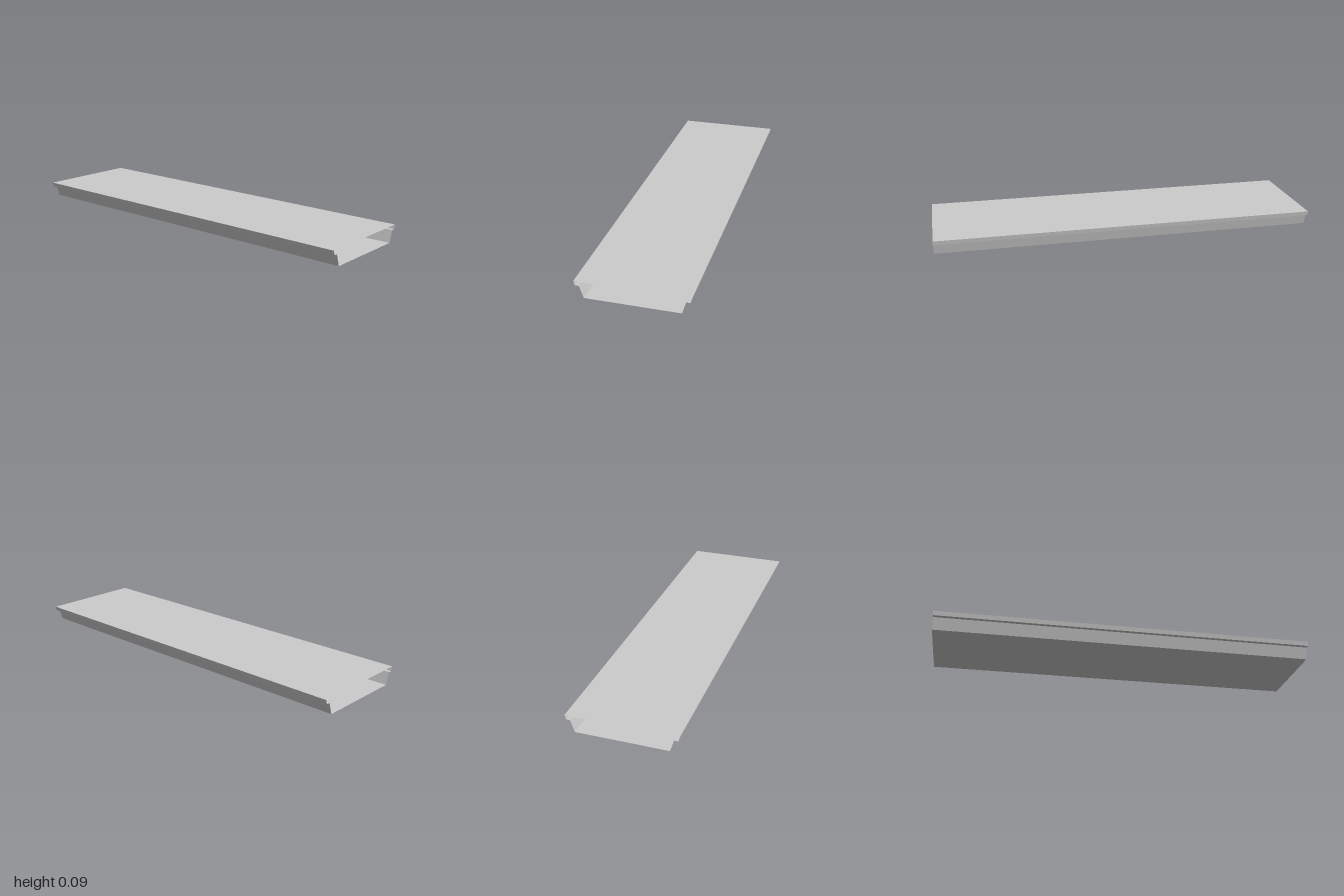
import * as THREE from 'three';

const HALF_LENGTH = 1;

// Thin flat strip swept along z between two points of the cross-section
function panel(name, [x0, y0], [x1, y1], material) {
  const g = new THREE.BufferGeometry();
  const h = HALF_LENGTH;
  g.setAttribute('position', new THREE.Float32BufferAttribute([
    x0, y0, h, x1, y1, h, x1, y1, -h, x0, y0, -h,
  ], 3));
  // front faces look outward when the section runs clockwise seen from +z
  g.setIndex([0, 1, 2, 0, 2, 3]);
  g.computeVertexNormals();
  const mesh = new THREE.Mesh(g, material);
  mesh.name = name;
  return mesh;
}

export function createModel() {
  const group = new THREE.Group();
  group.name = 'hollowDeckPlank';
  const material = new THREE.MeshStandardMaterial({
    color: 0xcccccc, side: THREE.DoubleSide, flatShading: true,
  });

  // Half cross-section: top edge, lip, step, foot
  const half = [[0.278, 0.085], [0.272, 0.062], [0.252, 0.062], [0.232, 0]];
  const mirrored = half.map(([x, y]) => [-x, y]).reverse();
  const section = [...half, ...mirrored];
  const names = [
    'leftLip', 'leftStep', 'leftWall', 'bottomPlate',
    'rightWall', 'rightStep', 'rightLip', 'topPlate',
  ];

  // Open-ended sheet shell, one panel per side of the section
  names.forEach((name, i) => {
    group.add(panel(name, section[i], section[(i + 1) % section.length], material));
  });
  return group;
}
